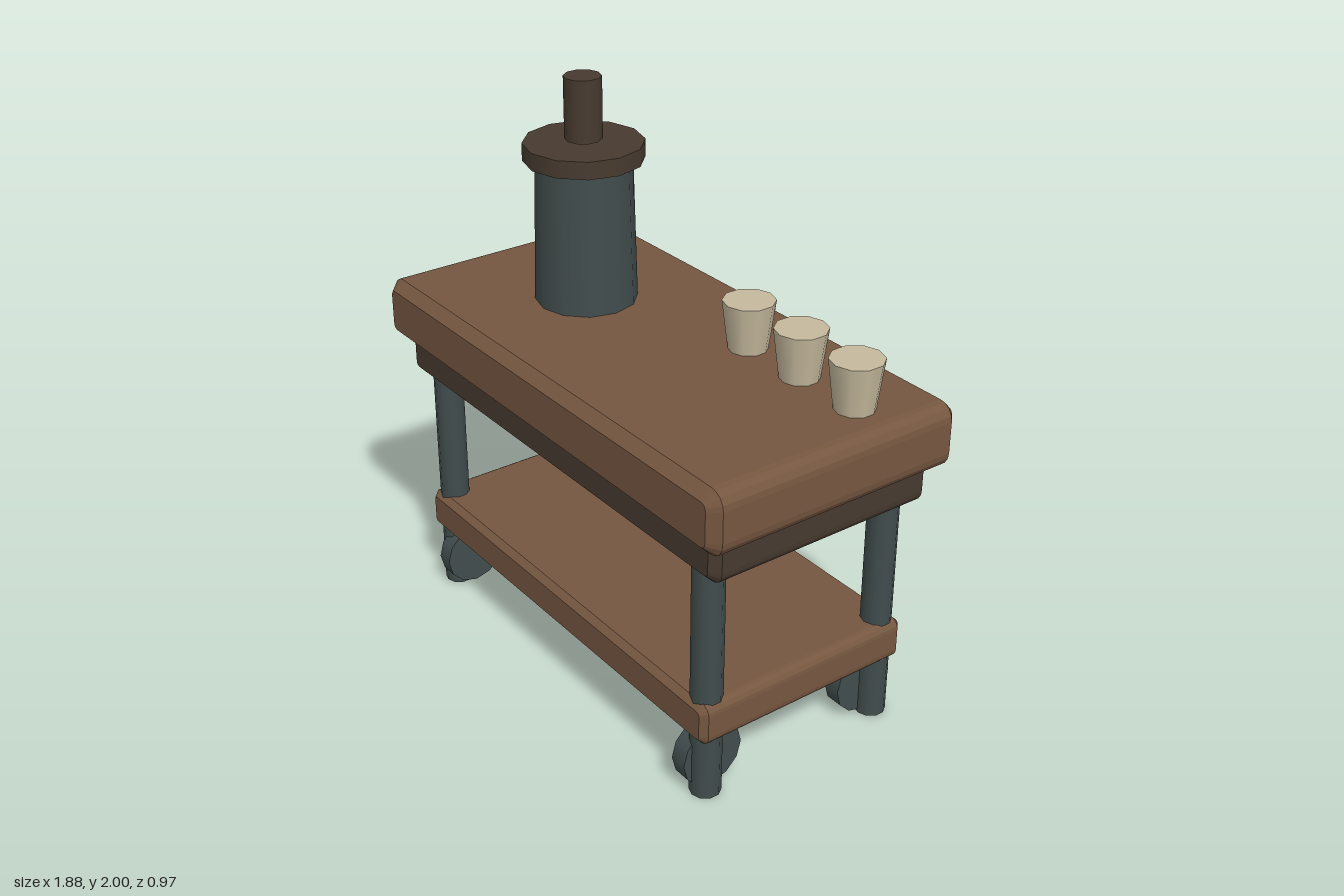
import * as THREE from 'three';

const paint = (color) => new THREE.MeshStandardMaterial({ color });

export function createModel() {
  const model = new THREE.Group();
  const wood = paint(0x765740), darkWood = paint(0x483b30);
  const iron = paint(0x424d4d), cream = paint(0xc6ba9e);

  const add = (name, geometry, material, x, y, z) => {
    const mesh = new THREE.Mesh(geometry, material);
    mesh.name = name;
    mesh.position.set(x, y, z);
    model.add(mesh);
    return mesh;
  };

  // Upright round part standing on height y0
  const round = (name, rTop, rBottom, y0, y1, sides, material, x, z) =>
    add(name, new THREE.CylinderGeometry(rTop, rBottom, y1 - y0, sides), material, x, (y0 + y1) / 2, z);

  // Plank: rounded rectangle seen from the front, bevelled front and back
  const plank = (name, width, y0, y1, depth, bevel, radius, material) => {
    const x = width / 2 - bevel, y = (y1 - y0) / 2 - bevel, r = radius;
    const s = new THREE.Shape();
    s.moveTo(-x + r, -y);
    s.lineTo(x - r, -y);
    s.quadraticCurveTo(x, -y, x, -y + r);
    s.lineTo(x, y - r);
    s.quadraticCurveTo(x, y, x - r, y);
    s.lineTo(-x + r, y);
    s.quadraticCurveTo(-x, y, -x, y - r);
    s.lineTo(-x, -y + r);
    s.quadraticCurveTo(-x, -y, -x + r, -y);
    const geometry = new THREE.ExtrudeGeometry(s, {
      depth: depth - 2 * bevel, bevelEnabled: true, bevelSize: bevel,
      bevelThickness: bevel, bevelSegments: 1, curveSegments: 4,
    });
    geometry.translate(0, 0, bevel - depth / 2);
    add(name, geometry, material, 0, (y0 + y1) / 2, 0);
  };

  // Table top, apron below it and lower shelf
  plank('tableTop', 1.88, 0.99, 1.213, 0.965, 0.036, 0.024, wood);
  plank('apron', 1.765, 0.853, 1.05, 0.86, 0.03, 0.02, darkWood);
  plank('lowerShelf', 1.655, 0.225, 0.375, 0.835, 0.022, 0.015, wood);

  // Four legs, each with a wheel on its inner side
  for (const sx of [-1, 1]) {
    for (const sz of [-1, 1]) {
      round('leg', 0.053, 0.053, 0, 0.9, 10, iron, sx * 0.763, sz * 0.355);
      const wheel = add('wheel', new THREE.CylinderGeometry(0.115, 0.115, 0.063, 12), iron,
        sx * 0.726, 0.12, sz * 0.322);
      wheel.rotation.z = Math.PI / 2;
    }
  }

  // Tall pot with a wide lid and a knob hovering just above it
  round('pot', 0.165, 0.178, 1.205, 1.716, 12, iron, -0.39, 0);
  round('potLid', 0.206, 0.206, 1.715, 1.776, 12, darkWood, -0.39, 0);
  round('potKnob', 0.064, 0.064, 1.785, 2, 10, darkWood, -0.39, 0);

  // Row of three cups
  for (let i = 0; i < 3; i++) {
    round('cup', 0.089, 0.066, 1.205, 1.384, 10, cream, 0.255 + i * 0.258, -0.195);
  }
  return model;
}
